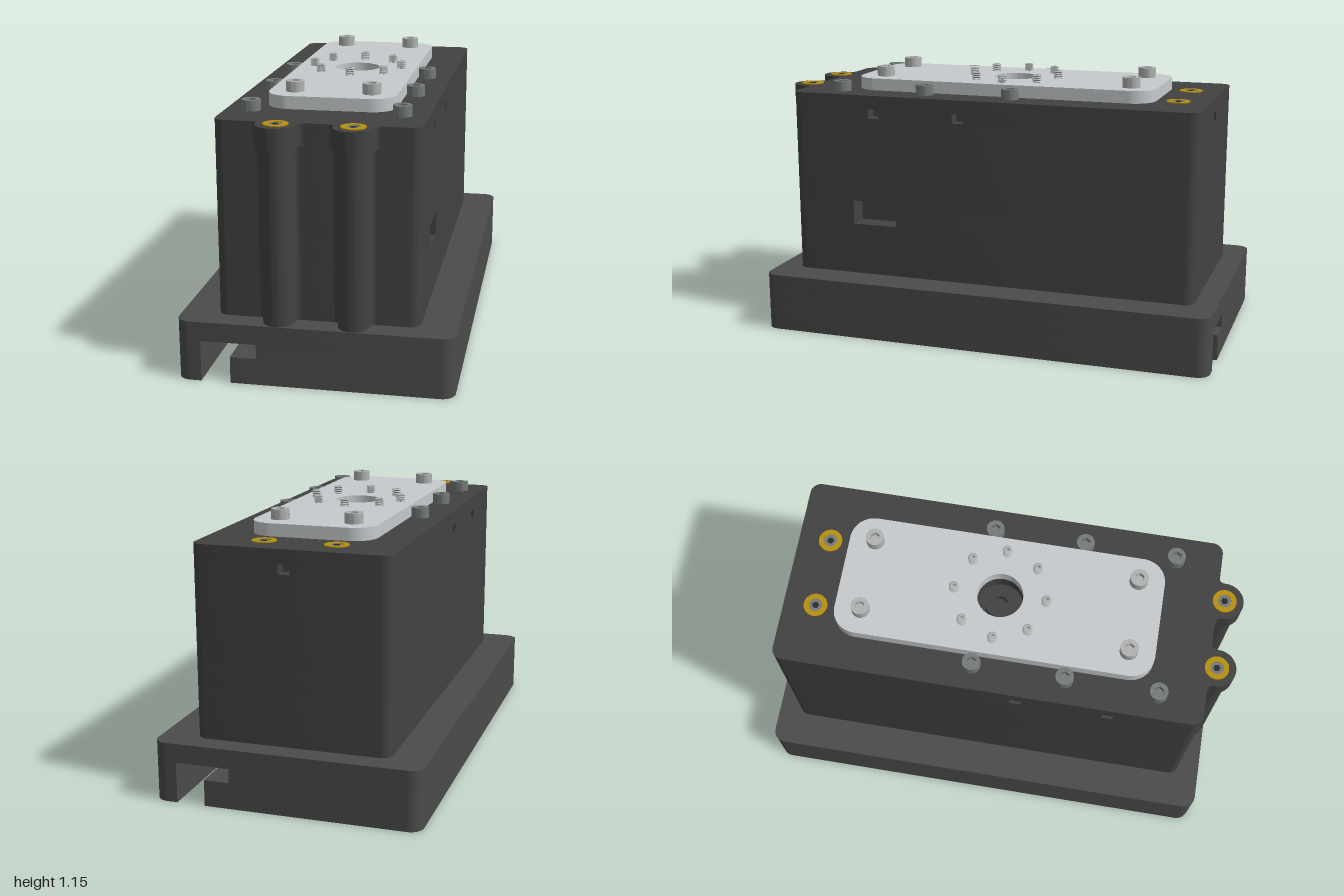
import * as THREE from 'three';
import { toCreasedNormals } from 'three/addons/utils/BufferGeometryUtils.js';

const material = (color) => new THREE.MeshStandardMaterial({ color });
const mats = {
  base: material(0x4b4b4b), body: material(0x424242), dark: material(0x2c2c2c),
  plate: material(0xc6cacc), screw: material(0xb0b2b2), sideScrew: material(0x747b79),
  brass: material(0xb8900f),
};

function add(parent, name, geometry, mat, x = 0, y = 0, z = 0) {
  const mesh = new THREE.Mesh(geometry, mat);
  mesh.name = name;
  mesh.position.set(x, y, z);
  parent.add(mesh);
  return mesh;
}

// Plan outline, drawn in (x, -z): rounded rectangle with notches cut into its sides.
// Sides: 0 front, 1 right (+x), 2 back, 3 left (-x). "at" is the notch centre in x or z.
function outline({ x0, x1, z0, z1, r }, notches = [], holes = []) {
  const shape = new THREE.Shape();
  const corners = [[x0, -z1], [x1, -z1], [x1, -z0], [x0, -z0]];
  const dirs = [[1, 0], [0, 1], [-1, 0], [0, -1]];
  const along = [(v) => v - x0, (v) => z1 - v, (v) => x1 - v, (v) => v - z0];
  for (let i = 0; i < 4; i++) {
    const [cx, cy] = corners[i], [dx, dy] = dirs[i];
    const point = (t, depth) => [cx + dx * t - dy * depth, cy + dy * t + dx * depth];
    if (i === 0) shape.moveTo(...point(r, 0));
    notches.filter((n) => n.side === i)
      .map((n) => ({ ...n, t: along[i](n.at) }))
      .sort((a, b) => a.t - b.t)
      .forEach(({ t, w, depth }) => {
        shape.lineTo(...point(t - w / 2, 0));
        shape.lineTo(...point(t - w / 2, depth));
        shape.lineTo(...point(t + w / 2, depth));
        shape.lineTo(...point(t + w / 2, 0));
      });
    const length = i % 2 ? z1 - z0 : x1 - x0;
    const [ax, ay] = point(length - r, r);
    shape.absarc(ax, ay, r, (i - 1) * Math.PI / 2, i * Math.PI / 2, false);
  }
  for (const [x, z, radius] of holes) {
    shape.holes.push(new THREE.Path().absarc(x, -z, radius, 0, Math.PI * 2, true));
  }
  return shape;
}

// Raises a plan outline from y0 to y1
function slab(shape, y0, y1) {
  const g = new THREE.ExtrudeGeometry(shape, { depth: y1 - y0, bevelEnabled: false, curveSegments: 16 });
  g.rotateX(-Math.PI / 2).translate(0, y0, 0);
  return toCreasedNormals(g, 0.5);
}

// Half-round rib with flared roots, centred on x = 0
function ribShape(r, flare) {
  const s = new THREE.Shape(), c = -0.92, root = -0.87;
  s.moveTo(-flare, root);
  s.lineTo(-flare, -0.89);
  s.quadraticCurveTo(-r, -0.89, -r, c);
  s.absarc(0, c, r, Math.PI, Math.PI * 2, false);
  s.quadraticCurveTo(r, -0.89, flare, -0.89);
  s.lineTo(flare, root);
  return s;
}

// Socket head screw: cylinder with a hexagonal recess
function capScrew(parent, name, mat, x, y, z) {
  const group = new THREE.Group();
  group.name = name;
  group.position.set(x, y, z);
  const head = new THREE.Shape().absarc(0, 0, 0.038, 0, Math.PI * 2, false);
  const hex = [...Array(6)].map((_, i) =>
    new THREE.Vector2(Math.cos(-i * Math.PI / 3), Math.sin(-i * Math.PI / 3)).multiplyScalar(0.021));
  head.holes.push(new THREE.Path(hex));
  add(group, 'screwHead', slab(head, 0, 0.044), mat);
  add(group, 'socketFloor', new THREE.CylinderGeometry(0.024, 0.024, 0.02, 24), mat, 0, 0.01, 0);
  parent.add(group);
}

// Threaded stud profile with a hollow tip
function studGeometry() {
  const pts = [];
  for (let i = 0; i < 4; i++) pts.push([0.015, i * 0.009], [0.021, i * 0.009 + 0.0045]);
  pts.push([0.016, 0.035], [0.009, 0.035], [0.008, 0.02], [0, 0.02]);
  const g = new THREE.LatheGeometry(pts.map((p) => new THREE.Vector2(...p)), 20);
  return toCreasedNormals(g, 0.5);
}

export function createModel() {
  const model = new THREE.Group();
  model.name = 'actuatorUnit';
  const cz = -0.01;

  // Base in layers: undercut slots enter from the front and the back
  const base = new THREE.Group();
  base.name = 'base';
  model.add(base);
  const baseRect = { x0: -0.557, x1: 0.557, z0: -1, z1: 0.985, r: 0.055 };
  const slots = (inner) => [[0, -1], [2, 1]].map(([side, s]) =>
    ({ side, at: s * (0.457 + inner) / 2, w: 0.457 - inner, depth: 1.04 }));
  const boltHoles = [-0.15, 0.15].flatMap((x) => [[x, -0.77, 0.045], [x, 0.92, 0.045]]);
  add(base, 'baseBottom', slab(outline(baseRect, slots(0.337), boltHoles), 0, 0.11), mats.base);
  add(base, 'baseUndercut', slab(outline(baseRect, slots(0.23)), 0.11, 0.17), mats.base);
  add(base, 'baseTop', slab(outline(baseRect), 0.17, 0.25), mats.base);
  for (const s of [-1, 1]) {
    const x = s * 0.27;
    const rect = { x0: x - 0.038, x1: x + 0.038, z0: cz - s * 0.13 - 0.15, z1: cz - s * 0.13 + 0.15, r: 0.03 };
    add(base, 'slotSlider', slab(outline(rect), 0.112, 0.169), mats.plate);
  }

  // Housing in layers: a side window, small ports and a bore in the top
  const housing = new THREE.Group();
  housing.name = 'housing';
  model.add(housing);
  const bodyRect = { x0: -0.408, x1: 0.408, z0: -0.905, z1: 0.89, r: 0.045 };
  const sideWindow = [{ side: 1, at: 0.51, w: 0.2, depth: 0.09 }];
  const ports = [1, 3].flatMap((side) => [0.12, 0.505].map((at) => ({ side, at, w: 0.05, depth: 0.06 })));
  ports.push({ side: 2, at: 0.02, w: 0.05, depth: 0.06 });
  const layers = [
    ['lowerHousing', 0.25, 0.475], ['windowHousing', 0.475, 0.58, sideWindow], ['middleHousing', 0.58, 0.95],
    ['portHousing', 0.95, 0.99, ports], ['upperHousing', 0.99, 1.05, [], [[0, cz, 0.097]]],
  ];
  for (const [name, y0, y1, notches, holes] of layers) {
    add(housing, name, slab(outline(bodyRect, notches, holes), y0, y1), mats.body);
  }

  // Hub in the bore
  const hub = new THREE.Shape().absarc(0, 0, 0.065, 0, Math.PI * 2, false);
  hub.holes.push(new THREE.Path().absarc(0, 0, 0.03, 0, Math.PI * 2, true));
  add(housing, 'boreHub', slab(hub, 0.99, 1.02), mats.body, 0, 0, cz);

  // Front bolt ribs, and the brass bushings in their caps and at the back
  const bushing = new THREE.Shape().absarc(0, 0, 0.05, 0, Math.PI * 2, false);
  bushing.holes.push(new THREE.Path().absarc(0, 0, 0.028, 0, Math.PI * 2, true));
  for (const x of [-0.15, 0.15]) {
    add(housing, 'boltRib', slab(ribShape(0.062, 0.085), 0.25, 0.97), mats.body, x);
    add(housing, 'boltRibCap', slab(ribShape(0.08, 0.1), 0.962, 1.05), mats.body, x);
    for (const z of [-0.77, 0.92]) {
      add(housing, 'bushing', slab(bushing, 1.046, 1.054), mats.brass, x, 0, z);
      add(housing, 'bushingBolt', new THREE.CylinderGeometry(0.03, 0.03, 0.01, 24), mats.sideScrew, x, 1.0465, z);
      add(housing, 'bushingSocket', new THREE.CylinderGeometry(0.015, 0.015, 0.01, 6), mats.dark, x, 1.0475, z);
    }
  }

  // Mounting plate with its screws and a ring of studs
  const plate = new THREE.Group();
  plate.name = 'mountingPlate';
  model.add(plate);
  const plateRect = { x0: -0.262, x1: 0.262, z0: -0.68, z1: 0.66, r: 0.1 };
  add(plate, 'plate', slab(outline(plateRect, [], [[0, cz, 0.097]]), 1.05, 1.103), mats.plate);
  for (const s of [-1, 1]) {
    for (const z of [-0.57, 0.55]) capScrew(plate, 'plateScrew', mats.screw, s * 0.157, 1.102, z);
    for (const z of [-0.08, 0.307, 0.695]) capScrew(housing, 'coverScrew', mats.sideScrew, s * 0.303, 1.05, z);
  }
  const stud = studGeometry();
  for (let i = 0; i < 8; i++) {
    const a = i * Math.PI / 4;
    add(plate, 'stud', stud, mats.screw, Math.cos(a) * 0.195, 1.1, cz + Math.sin(a) * 0.195);
  }
  return model;
}
